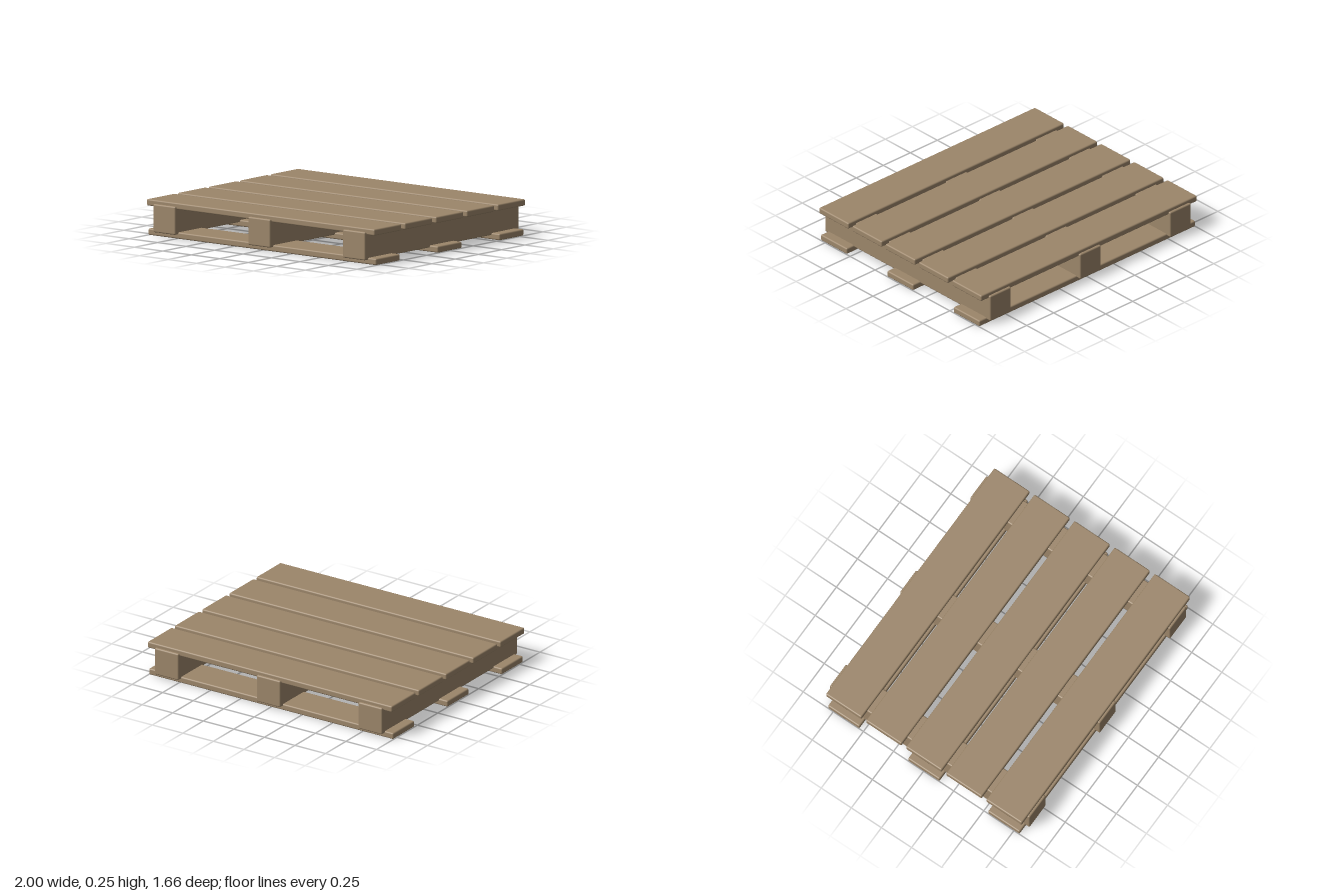
import * as THREE from 'three';
import { RoundedBoxGeometry } from 'three/addons/geometries/RoundedBoxGeometry.js';

export function createModel() {
  const pallet = new THREE.Group();
  pallet.name = 'pallet';
  const wood = new THREE.MeshStandardMaterial({ color: 0x9c866a });

  // A plank with slightly eased edges, placed by its centre
  function plank(name, [w, h, d], [x, y, z]) {
    const mesh = new THREE.Mesh(new RoundedBoxGeometry(w, h, d, 2, 0.01), wood);
    mesh.name = name;
    mesh.position.set(x, y, z);
    pallet.add(mesh);
  }

  // Five deck boards on top
  for (let i = -2; i <= 2; i++) {
    plank('deckBoard', [2, 0.045, 0.295], [0, 0.2275, i * 0.333]);
  }

  for (let i = -1; i <= 1; i++) {
    // Three stringers running front to back, let into the boards
    plank('stringer', [0.195, 0.195, 1.66], [i * 0.833, 0.1275, 0]);
    // Three bottom boards
    plank('bottomBoard', [2, 0.045, 0.262], [0, 0.0225, i * 0.665]);
  }
  return pallet;
}
